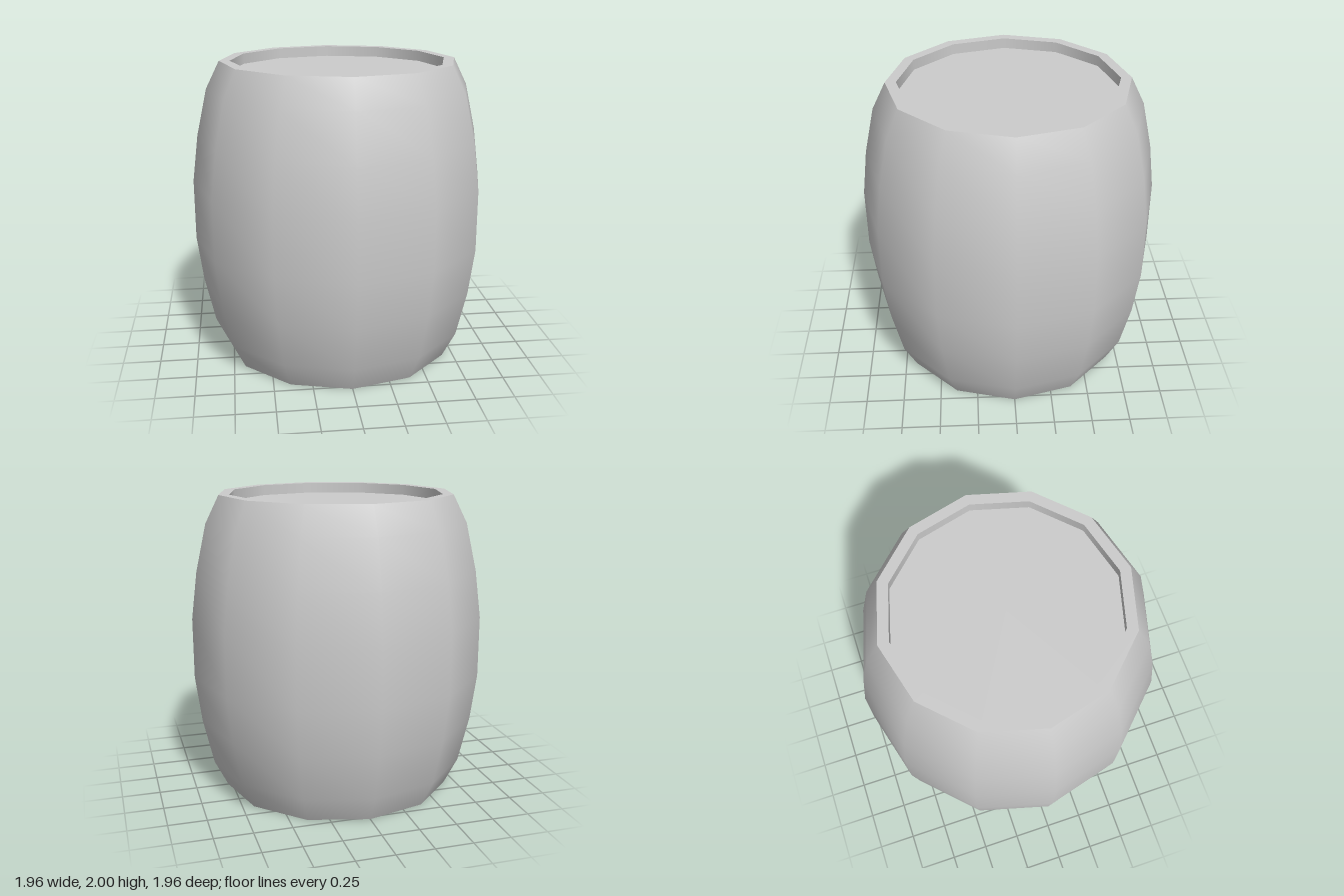
import * as THREE from 'three';

const SIDES = 12;
const RIM_OUTER = 0.78;
const RIM_INNER = 0.71;
const RECESS = 0.07;
const HEIGHT = 2;

export function createModel() {
  const barrel = new THREE.Group();
  barrel.name = 'barrel';
  const material = new THREE.MeshStandardMaterial({ color: 0xcccccc });

  const add = (name, geometry) => {
    const mesh = new THREE.Mesh(geometry, material);
    mesh.name = name;
    barrel.add(mesh);
    return mesh;
  };
  // Each lathed strip keeps its own normals, so edges between strips stay sharp
  const lathe = (name, profile) =>
    add(name, new THREE.LatheGeometry(profile.map(([r, y]) => new THREE.Vector2(r, y)), SIDES));

  // Bulging wall: lower half of the profile, mirrored for the upper half
  const lower = [[RIM_OUTER, 0], [0.87, 0.18], [0.94, 0.49], [0.98, 0.8]];
  const upper = lower.map(([r, y]) => [r, HEIGHT - y]).reverse();
  lathe('staves', [...lower, ...upper]);

  // Both ends: flat rim, short inner wall and recessed head
  for (const top of [true, false]) {
    const end = top ? 'top' : 'bottom';
    const edgeY = top ? HEIGHT : 0;
    const headY = top ? HEIGHT - RECESS : RECESS;
    const order = (profile) => (top ? profile : profile.reverse());

    lathe(end + 'Rim', order([[RIM_OUTER, edgeY], [RIM_INNER, edgeY]]));
    lathe(end + 'InnerWall', order([[RIM_INNER, edgeY], [RIM_INNER, headY]]));

    const head = add(end + 'Head', new THREE.CircleGeometry(RIM_INNER, SIDES));
    head.rotation.x = top ? -Math.PI / 2 : Math.PI / 2;
    head.position.y = headY;
  }
  return barrel;
}
